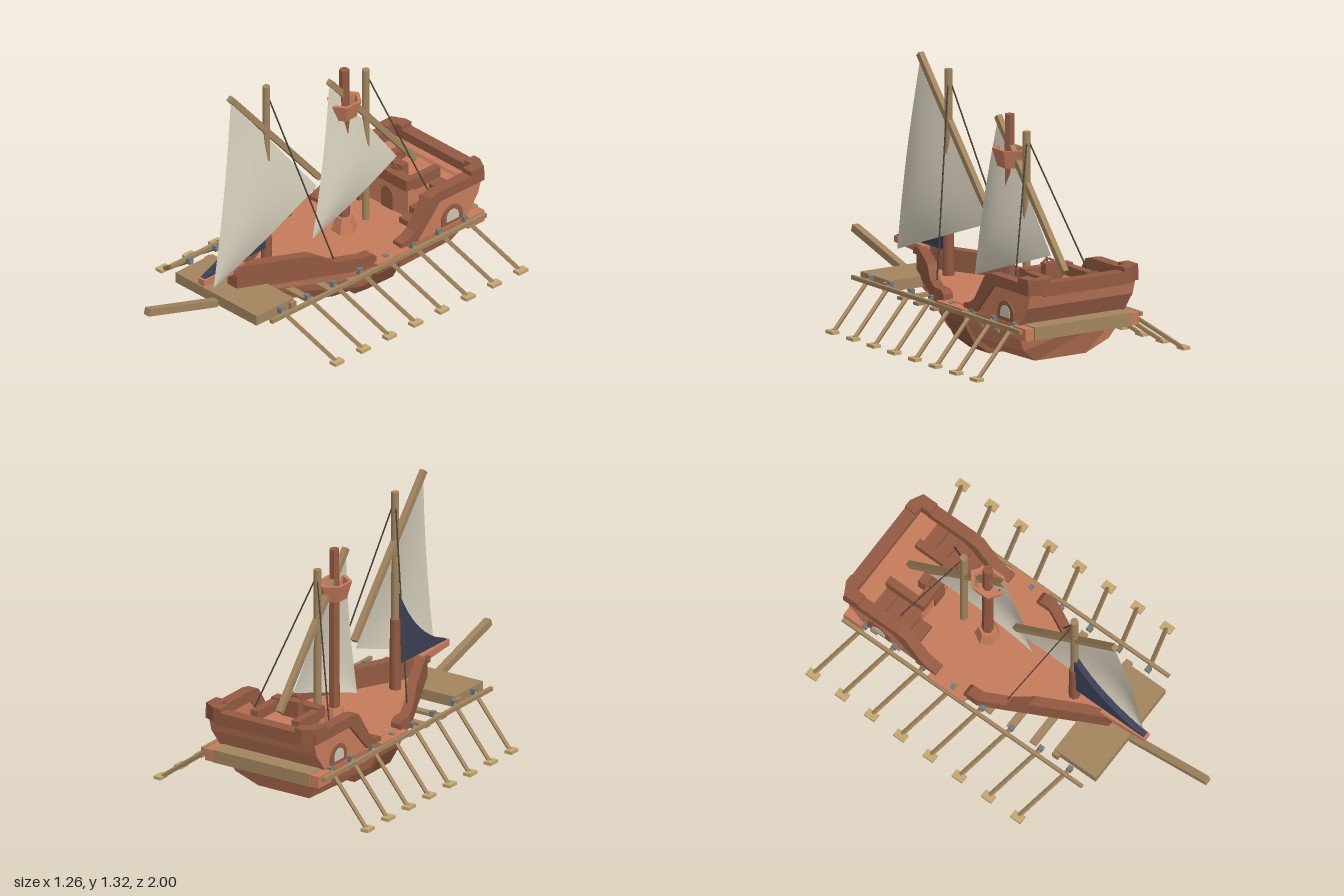
import * as THREE from 'three';
import { ParametricGeometry } from 'three/addons/geometries/ParametricGeometry.js';

const V = (x, y, z) => new THREE.Vector3(x, y, z);

export function createModel() {
  const ship = new THREE.Group();
  ship.name = 'galley';
  const paint = (name, color, side = THREE.FrontSide) => {
    const m = new THREE.MeshStandardMaterial({ color, side });
    m.name = name;
    return m;
  };
  const plank = paint('terracotta planks', 0xc67c5c);
  const brown = paint('brown trim', 0x935a42);
  const tan = paint('tan timber', 0xa2855e);
  const pale = paint('pale blade wood', 0xc4a670);
  const canvas = paint('cream canvas', 0xd6cfbc, THREE.DoubleSide);
  const navy = paint('navy cloth', 0x3a3f56);
  const iron = paint('grey iron', 0x6f7b80);
  const rope = paint('dark rope', 0x4a4338);
  const glass = paint('pale glass', 0xc9c8b4);

  const add = (name, geo, mat) => {
    const m = new THREE.Mesh(geo, mat);
    m.name = name;
    ship.add(m);
    return m;
  };
  // box given by its limits on each axis
  const box = (name, mat, [x0, x1], [y0, y1], [z0, z1]) =>
    add(name, new THREE.BoxGeometry(x1 - x0, y1 - y0, z1 - z0), mat)
      .position.set((x0 + x1) / 2, (y0 + y1) / 2, (z0 + z1) / 2);
  const sideBox = (name, mat, [x0, x1], y, z) => {
    box(name, mat, [x0, x1], y, z);
    box(name, mat, [-x1, -x0], y, z);
  };
  // straight spar between two points; four sides make a square beam
  const rod = (name, mat, a, b, r, sides = 4, rTop = r) => {
    const geo = new THREE.CylinderGeometry(rTop, r, a.distanceTo(b), sides);
    geo.rotateY(Math.PI / sides);
    const m = add(name, sides > 6 ? geo : flat(geo), mat);
    m.position.copy(a).lerp(b, 0.5);
    m.quaternion.setFromUnitVectors(V(0, 1, 0), b.clone().sub(a).normalize());
  };
  const flat = (geo) => {
    const g = geo.toNonIndexed();
    g.computeVertexNormals();
    return g;
  };
  // skin over rings that run counterclockwise, ordered from stern to bow
  const loft = (name, mat, rings) => {
    const p = [], n = rings[0].length, put = (...v) => v.forEach((q) => p.push(q.x, q.y, q.z));
    for (let i = 0; i + 1 < rings.length; i++) for (let j = 0; j < n; j++) {
      const k = (j + 1) % n, a = rings[i], b = rings[i + 1];
      put(a[j], a[k], b[k], a[j], b[k], b[j]);
    }
    const s = rings[0], e = rings[rings.length - 1];
    for (let j = 1; j + 1 < n; j++) {
      put(s[0], s[j + 1], s[j]);
      put(e[0], e[j], e[j + 1]);
    }
    const g = new THREE.BufferGeometry();
    g.setAttribute('position', new THREE.Float32BufferAttribute(p, 3));
    g.computeVertexNormals();
    return add(name, g, mat);
  };
  // side profile in (z, y), spanning x0 - depth .. x0
  const plate = (name, mat, shape, x0, depth) => {
    const s = Array.isArray(shape) ? new THREE.Shape(shape.map(([z, y]) => new THREE.Vector2(z, y))) : shape;
    const g = new THREE.ExtrudeGeometry(s, { depth, bevelEnabled: false, curveSegments: 8 });
    g.rotateY(-Math.PI / 2).translate(x0, 0, 0);
    add(name, g, mat);
  };
  const sidePlate = (name, mat, shape, x0, depth) => {
    plate(name, mat, shape, x0, depth);
    plate(name, mat, shape, depth - x0, depth);
  };

  // hull: half section points [x, y, z] from gunwale to keel
  const section = (half) => [
    ...half.map(([x, y, z]) => V(-x, y, z)), ...half.slice().reverse().map(([x, y, z]) => V(x, y, z)),
  ];
  const mid = (z) => [[0.315, 0.24, z], [0.3, 0.17, z], [0.265, 0.1, z], [0.17, 0.03, z]];
  loft('hull', plank, [
    [[0.305, 0.24, -0.86], [0.29, 0.17, -0.845], [0.25, 0.1, -0.82], [0.15, 0.03, -0.77]],
    mid(-0.41), mid(-0.2),
    [[0.27, 0.24, -0.07], [0.255, 0.18, -0.08], [0.22, 0.11, -0.09], [0.155, 0.035, -0.1]],
    [[0.11, 0.24, 0.25], [0.1, 0.2, 0.25], [0.08, 0.17, 0.25], [0.055, 0.13, 0.25]],
    [[0.035, 0.24, 0.45], [0.034, 0.22, 0.44], [0.032, 0.2, 0.43], [0.03, 0.185, 0.42]],
  ].map(section));
  const wrap = (z) => section([[0.325, 0.24, z], [0.32, 0.17, z], [0.265, 0.07, z], [0.17, 0, z]]);
  loft('hullBand', brown, [wrap(-0.41), wrap(-0.24)]);
  const deckLine = (y) => [[0.3, -0.86], [0.3, -0.16], [0.03, 0.41]];
  const deck = new THREE.Shape();
  deckLine().forEach(([x, z], i) => (i ? deck.lineTo(x, -z) : deck.moveTo(x, -z)));
  deckLine().reverse().forEach(([x, z]) => deck.lineTo(-x, -z));
  add('deck', new THREE.ExtrudeGeometry(deck, { depth: 0.02, bevelEnabled: false }).rotateX(-Math.PI / 2), plank)
    .position.y = 0.235;
  box('deckFlange', plank, [-0.355, 0.355], [0.228, 0.252], [-0.44, -0.22]);

  // bow bulwarks: [z, outer x, top y]
  const bow = [[-0.24, 0.325, 0.28], [-0.22, 0.325, 0.3], [-0.16, 0.325, 0.305], [-0.03, 0.26, 0.305],
    [0.07, 0.208, 0.36], [0.3, 0.092, 0.365], [0.42, 0.032, 0.365]]
    .map(([z, x, y]) => {
      const i = Math.max(0, x - 0.057);
      return [V(i, 0.235, z), V(x, 0.235, z), V(x, y, z), V(i, y, z)];
    });
  loft('bowBulwark', brown, bow);
  loft('bowBulwark', brown, bow.map((r) => r.map((p) => V(-p.x, p.y, p.z)).reverse()));
  const prow = (z, w, y0, y1) => [V(-w, y0, z), V(w, y0, z), V(w, y1, z), V(-w, y1, z)];
  loft('prowBeam', plank, [prow(0.37, 0.036, 0.33, 0.372), prow(0.63, 0.02, 0.34, 0.372)]);
  box('prowCollar', brown, [-0.038, 0.038], [0.32, 0.355], [0.41, 0.44]);
  rod('ram', tan, V(0, 0.2, 0.53), V(0, 0.34, 0.995), 0.026);

  // rowing frame
  box('bowPlatform', tan, [-0.285, 0.285], [0.19, 0.245], [0.28, 0.53]);
  box('platformBeam', tan, [-0.305, 0.305], [0.19, 0.235], [0.28, 0.315]);
  box('sternPlatform', tan, [-0.285, 0.285], [0.185, 0.25], [-0.965, -0.84]);
  sideBox('sternPlatformEnd', plank, [0.285, 0.335], [0.185, 0.245], [-0.96, -0.85]);
  for (let i = 0; i < 8; i++) {
    const z = 0.165 - i * 0.138;
    box('crossBeam', tan, [-0.307, 0.307], [0.175, 0.19], [z - 0.02, z + 0.02]);
  }
  sideBox('outrigger', tan, [0.346, 0.364], [0.222, 0.242], [-0.95, 0.5]);

  // oars
  for (const s of [-1, 1]) for (let i = 0; i < 8; i++) {
    const z = 0.4 - i * 0.177;
    rod('oar', tan, V(s * 0.31, 0.25, z + 0.005), V(s * 0.6, 0.033, z - 0.1), 0.012);
    const x = s * 0.32, b = s * 0.61;
    box('oarlock', iron, [x - 0.013, x + 0.013], [0.228, 0.256], [z - 0.013, z + 0.013]);
    box('oarBlade', pale, [b - 0.021, b + 0.021], [0.022, 0.038], [z - 0.132, z - 0.07]);
  }

  // sterncastle
  sidePlate('sternRail', brown, [[-0.41, 0.25], [-0.52, 0.25], [-0.67, 0.41], [-0.97, 0.41], [-0.97, 0.465],
    [-0.65, 0.465], [-0.6, 0.455], [-0.5, 0.31], [-0.46, 0.285], [-0.41, 0.275]], 0.325, 0.06);
  sidePlate('sternSide', plank, [[-0.5, 0.235], [-0.86, 0.235], [-0.94, 0.34], [-0.965, 0.42], [-0.66, 0.42]], 0.31, 0.04);
  plate('transom', plank, [[-0.8, 0.235], [-0.9, 0.42], [-0.965, 0.42], [-0.94, 0.34], [-0.86, 0.235]], 0.3, 0.6);
  box('poopDeck', plank, [-0.28, 0.28], [0.38, 0.405], [-0.95, -0.84]);
  box('cabin', plank, [-0.14, 0.14], [0.25, 0.405], [-0.86, -0.63]);
  box('cabinRailFront', brown, [-0.14, 0.14], [0.405, 0.465], [-0.675, -0.62]);
  sideBox('cabinRail', brown, [0.1, 0.142], [0.395, 0.455], [-0.85, -0.67]);
  for (let i = 0; i < 4; i++) {
    const z = -0.57 - i * 0.068;
    sideBox('stair', brown, [0.14, 0.27], [0.25, 0.285 + i * 0.035], [z - 0.068, z]);
  }
  box('taffrail', brown, [-0.25, 0.25], [0.405, 0.468], [-1, -0.935]);
  const corner = [[0.22, 1], [0.26, 1], [0.325, 0.965], [0.325, 0.88], [0.265, 0.88], [0.265, 0.935], [0.22, 0.935]];
  for (const s of [-1, 1]) {
    const shape = new THREE.Shape(corner.map(([x, z]) => new THREE.Vector2(s * x, z)));
    add('railCorner', new THREE.ExtrudeGeometry(shape, { depth: 0.078, bevelEnabled: false }).rotateX(-Math.PI / 2), brown)
      .position.y = 0.412;
  }
  // arched side windows and cabin door
  const arch = (c, y0, w, y1) => {
    const s = new THREE.Shape();
    s.moveTo(c - w, y0);
    s.lineTo(c + w, y0);
    s.absarc(c, y1 - w, w, 0, Math.PI, false);
    return s;
  };
  sidePlate('windowFrame', brown, arch(-0.76, 0.25, 0.07, 0.35), 0.318, 0.012);
  sidePlate('windowPane', glass, arch(-0.76, 0.268, 0.04, 0.328), 0.321, 0.008);
  add('cabinDoor', new THREE.ExtrudeGeometry(arch(0, 0.255, 0.04, 0.375), { depth: 0.008, bevelEnabled: false }), brown)
    .position.z = -0.631;
  // steering wheel
  box('wheelStand', brown, [-0.05, 0.05], [0.405, 0.49], [-0.72, -0.675]);
  add('wheelRim', new THREE.TorusGeometry(0.035, 0.006, 5, 12), brown).position.set(0, 0.465, -0.66);
  for (let i = 0; i < 3; i++) {
    const a = i * Math.PI / 3 + 0.4, x = 0.045 * Math.cos(a), y = 0.045 * Math.sin(a);
    rod('wheelSpoke', brown, V(-x, 0.465 - y, -0.66), V(x, 0.465 + y, -0.66), 0.005);
  }

  // masts and lateen yards
  rod('foreMastBase', brown, V(0, 0.245, 0.19), V(0, 0.62, 0.19), 0.03, 8, 0.026);
  rod('foreMast', tan, V(0, 0.6, 0.19), V(0, 1.285, 0.19), 0.02, 8);
  rod('mainMastFoot', plank, V(0, 0.245, -0.335), V(0, 0.335, -0.335), 0.068, 6, 0.045);
  rod('mainMast', brown, V(0, 0.3, -0.335), V(0, 1.16, -0.335), 0.03, 6, 0.026);
  rod('aftMast', tan, V(0, 0.245, -0.48), V(0, 1.1, -0.48), 0.02, 8);
  rod('foreYard', tan, V(0, 1.315, 0.435), V(0, 0.62, -0.165), 0.021);
  rod('aftYard', tan, V(0, 1.13, -0.235), V(0, 0.46, -0.81), 0.021);

  // hexagonal crow's nest
  const nest = [[0, 0.9], [0.07, 0.9], [0.1, 0.99], [0.078, 0.99], [0.062, 0.925], [0, 0.925]]
    .map(([r, y]) => new THREE.Vector2(r, y));
  const basket = add('crowsNest', flat(new THREE.LatheGeometry(nest, 6)), plank);
  basket.scale.x = 0.82;
  basket.position.z = -0.335;

  // sails bellying to the left
  const sail = (name, peak, low, tack, belly) => add(name, new ParametricGeometry((u, v, out) => {
    const t = u * 0.995;
    out.copy(peak).lerp(low, v).lerp(tack, t);
    out.x += belly * Math.sin(Math.PI * t) * (0.3 + 0.7 * Math.sin(Math.PI * v));
  }, 12, 12), canvas);
  sail('foreSail', V(0, 1.3, 0.43), V(0, 0.575, -0.15), V(0.035, 0.315, 0.58), 0.042);
  sail('aftSail', V(0, 1.12, -0.235), V(0, 0.52, -0.69), V(0.035, 0.315, -0.087), 0.042);
  const jib = new THREE.Shape();
  jib.moveTo(0.2, 0.38);
  jib.lineTo(0.62, 0.375);
  jib.quadraticCurveTo(0.34, 0.47, 0.2, 0.76);
  plate('jib', navy, jib, 0.016, 0.032);

  // stays
  for (const s of [-1, 1]) {
    rod('foreStay', rope, V(0, 1.25, 0.19), V(s * 0.23, 0.3, -0.045), 0.004);
    rod('aftStay', rope, V(0, 1.07, -0.485), V(s * 0.22, 0.4, -0.7), 0.004);
  }
  return ship;
}
